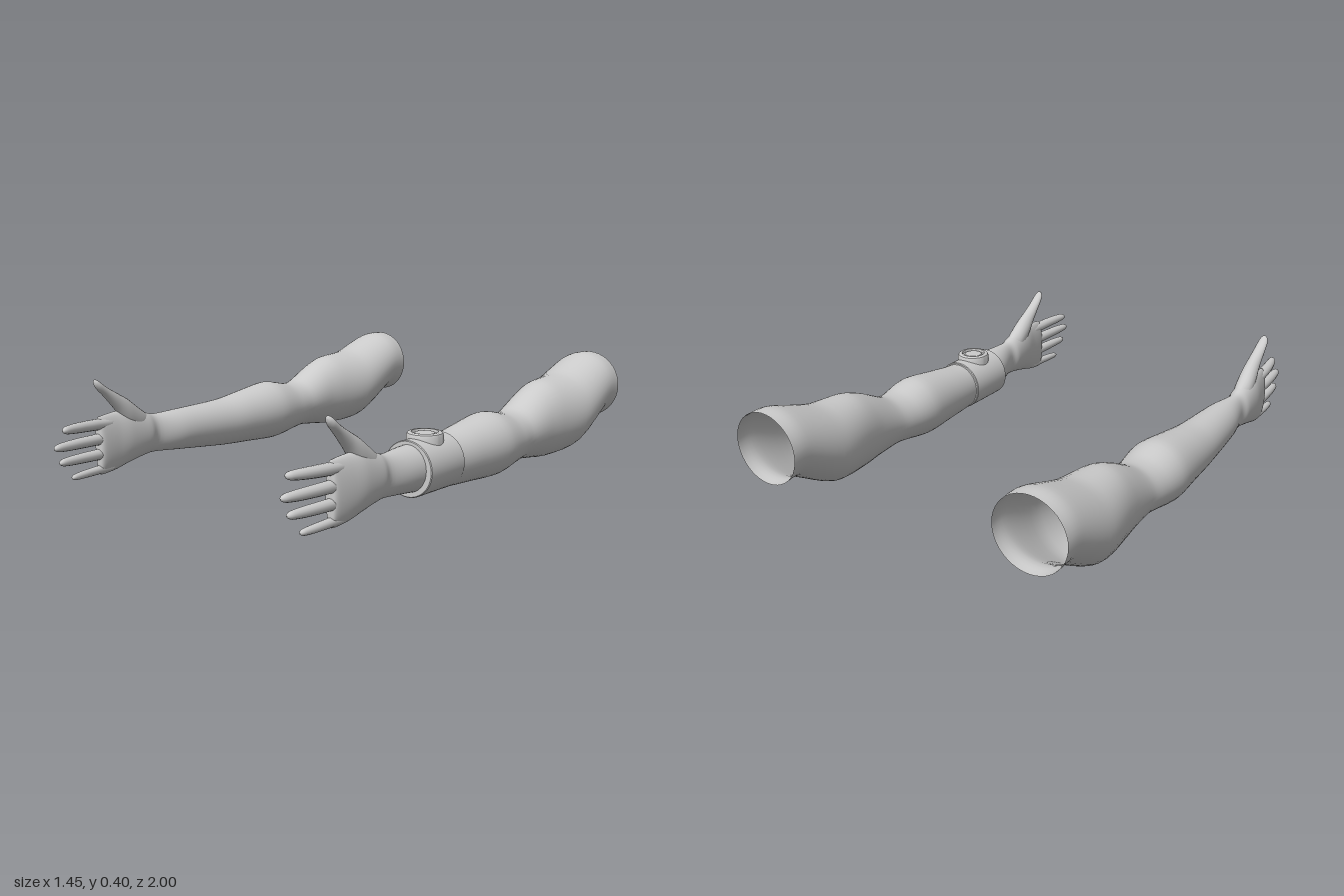
import * as THREE from 'three';
import { toCreasedNormals } from 'three/addons/utils/BufferGeometryUtils.js';

const skin = new THREE.MeshStandardMaterial({ color: 0xcccccc, side: THREE.DoubleSide });
const grey = new THREE.MeshStandardMaterial({ color: 0xcccccc });
const ARM_X = 0.571;

// Smooth skin through elliptical sections [z, centre x, bottom y, top y, half width]
function loft(name, sections, side, around, steps) {
  const centres = new THREE.CatmullRomCurve3(
    sections.map(([z, x, lo, hi]) => new THREE.Vector3(side * x, (lo + hi) / 2, z)), false, 'catmullrom', 0.4);
  const sizes = new THREE.CatmullRomCurve3(
    sections.map(([, , lo, hi, w]) => new THREE.Vector3(w, (hi - lo) / 2, 0)), false, 'catmullrom', 0.4);
  const rings = (sections.length - 1) * steps;
  const pos = [], index = [];
  for (let i = 0; i <= rings; i++) {
    const c = centres.getPoint(i / rings), s = sizes.getPoint(i / rings);
    for (let j = 0; j < around; j++) {
      const a = (j / around) * Math.PI * 2;
      pos.push(c.x + Math.max(s.x, 0) * Math.cos(a), c.y + Math.max(s.y, 0) * Math.sin(a), c.z);
      if (i === rings) continue;
      const p = i * around + j, q = i * around + (j + 1) % around;
      index.push(p, q, p + around, q, q + around, p + around);
    }
  }
  const geo = new THREE.BufferGeometry();
  geo.setAttribute('position', new THREE.Float32BufferAttribute(pos, 3));
  geo.setIndex(index);
  geo.computeVertexNormals();
  const mesh = new THREE.Mesh(geo, skin);
  mesh.name = name;
  return mesh;
}

function lathe(name, profile) {
  const geo = new THREE.LatheGeometry(profile.map(([r, y]) => new THREE.Vector2(r, y)), 48);
  const mesh = new THREE.Mesh(toCreasedNormals(geo, 0.6), grey);
  mesh.name = name;
  return mesh;
}

// Upper arm, elbow, forearm, wrist and palm in one skin, open at the shoulder
const ARM = [
  [-1.0, 0.57, 0.12, 0.40, 0.143],
  [-0.92, 0.57, 0.122, 0.397, 0.147],
  [-0.73, 0.57, 0.022, 0.338, 0.154],
  [-0.57, 0.571, 0.01, 0.325, 0.128],
  [-0.48, 0.571, 0.019, 0.295, 0.114],
  [-0.36, 0.569, 0.032, 0.238, 0.104],
  [-0.28, 0.57, 0.024, 0.232, 0.111],
  [-0.16, 0.571, 0.005, 0.254, 0.124],
  [0.0, 0.571, 0.012, 0.234, 0.109],
  [0.14, 0.571, 0.02, 0.216, 0.096],
  [0.38, 0.571, 0.043, 0.21, 0.073],
  [0.5, 0.577, 0.053, 0.207, 0.042],
  [0.55, 0.578, 0.051, 0.22, 0.05],
  [0.64, 0.58, 0.032, 0.246, 0.047],
  [0.7, 0.58, 0.016, 0.244, 0.038],
  [0.765, 0.577, 0.008, 0.237, 0.028],
  [0.782, 0.577, 0.02, 0.225, 0.018],
  [0.784, 0.577, 0.12, 0.12, 0],
];

// Fingers: [name, height at root, height at tip, tip z, radius, tip x]
const FINGERS = [
  ['indexFinger', 0.204, 0.213, 0.966, 0.021, 0.55],
  ['middleFinger', 0.147, 0.149, 1.0, 0.021, 0.56],
  ['ringFinger', 0.088, 0.09, 0.976, 0.02, 0.564],
  ['littleFinger', 0.031, 0.023, 0.92, 0.016, 0.568],
];

function finger([name, y0, y1, tip, r, tipX], side) {
  const root = 0.72;
  // Along the finger: [fraction, thickness]
  const shape = [[0, 1.1], [0.22, 1.05], [0.5, 1], [0.75, 0.9], [0.92, 0.72], [0.98, 0.4], [1, 0]];
  return loft(name, shape.map(([t, k]) => {
    const y = y0 + (y1 - y0) * t, x = 0.578 + (tipX - 0.578) * t * t;
    return [root + (tip - root) * t, x, y - r * k, y + r * k, r * k * 1.05];
  }), side, 14, 4);
}

const THUMB = [
  [0.52, 0.577, 0.13, 0.2, 0.02],
  [0.58, 0.576, 0.14, 0.242, 0.036],
  [0.64, 0.574, 0.18, 0.288, 0.036],
  [0.69, 0.573, 0.245, 0.317, 0.029],
  [0.74, 0.574, 0.303, 0.347, 0.024],
  [0.775, 0.575, 0.338, 0.374, 0.02],
  [0.788, 0.575, 0.356, 0.381, 0.012],
  [0.792, 0.575, 0.37, 0.37, 0],
];

function arm(side) {
  const g = new THREE.Group();
  g.name = side > 0 ? 'leftArm' : 'rightArm';
  g.add(loft('armAndPalm', ARM, side, 40, 5), loft('thumb', THUMB, side, 18, 5));
  for (const f of FINGERS) g.add(finger(f, side));
  return g;
}

// Cuff around the left wrist with a round dial on top
function wristband() {
  const g = new THREE.Group();
  g.name = 'wristband';
  const cuff = lathe('cuff', [
    [0.076, -0.105], [0.1, -0.105], [0.103, -0.102], [0.103, 0.102],
    [0.1, 0.105], [0.076, 0.105], [0.076, -0.105]]);
  cuff.rotation.x = Math.PI / 2;
  cuff.position.set(ARM_X - 0.003, 0.122, 0.241);
  const dial = lathe('dial', [
    [0.066, 0.165], [0.068, 0.228], [0.064, 0.238], [0.058, 0.242], [0.049, 0.242],
    [0.047, 0.232], [0.04, 0.232], [0.036, 0.238], [0, 0.241]]);
  dial.position.set(ARM_X - 0.003, 0, 0.243);
  g.add(cuff, dial);
  return g;
}

export function createModel() {
  const model = new THREE.Group();
  model.name = 'pairOfArms';
  model.add(arm(1), arm(-1), wristband());
  return model;
}
